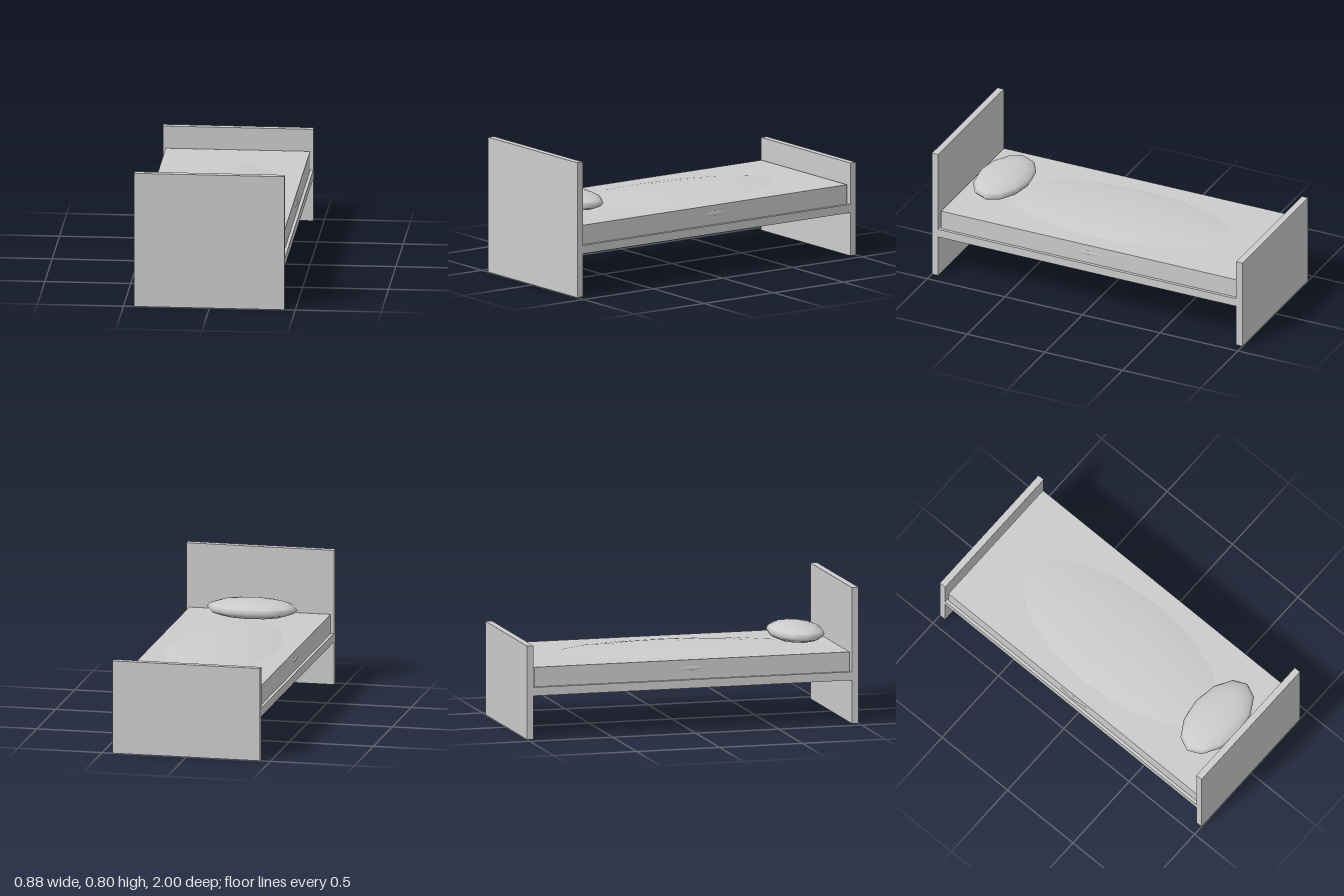
import * as THREE from 'three';

export function createModel() {
  const bed = new THREE.Group();
  bed.name = 'bed';
  const grey = new THREE.MeshStandardMaterial({ color: 0xcccccc });
  grey.name = 'plain grey';

  const add = (name, geometry, x, y, z) => {
    const mesh = new THREE.Mesh(geometry, grey);
    mesh.name = name;
    mesh.position.set(x, y, z);
    bed.add(mesh);
  };
  // Box given by its size, bottom height and centre
  const box = (name, w, h, d, x, bottom, z) =>
    add(name, new THREE.BoxGeometry(w, h, d), x, bottom + h / 2, z);
  // Faceted but smooth-shaded ellipsoid
  const cushion = (name, rx, ry, rz, cols, rows, y, z) =>
    add(name, new THREE.SphereGeometry(1, cols, rows).scale(rx, ry, rz), 0, y, z);

  // End boards reaching the floor
  box('headboard', 0.876, 0.8, 0.04, 0, 0, 0.98);
  box('footboard', 0.876, 0.55, 0.04, 0, 0, -0.98);

  // Side rails between the boards
  for (const [name, side] of [['leftRail', 1], ['rightRail', -1]]) {
    box(name, 0.038, 0.05, 1.92, side * 0.419, 0.255, 0);
  }

  // Mattress resting on the rails, with its softly domed core
  box('mattress', 0.84, 0.12, 1.9, 0, 0.3, 0);
  cushion('mattressDome', 0.43, 0.075, 0.952, 16, 12, 0.37, 0.003);

  // Pillow by the headboard
  cushion('pillow', 0.27, 0.056, 0.16, 12, 8, 0.484, 0.743);

  return bed;
}
